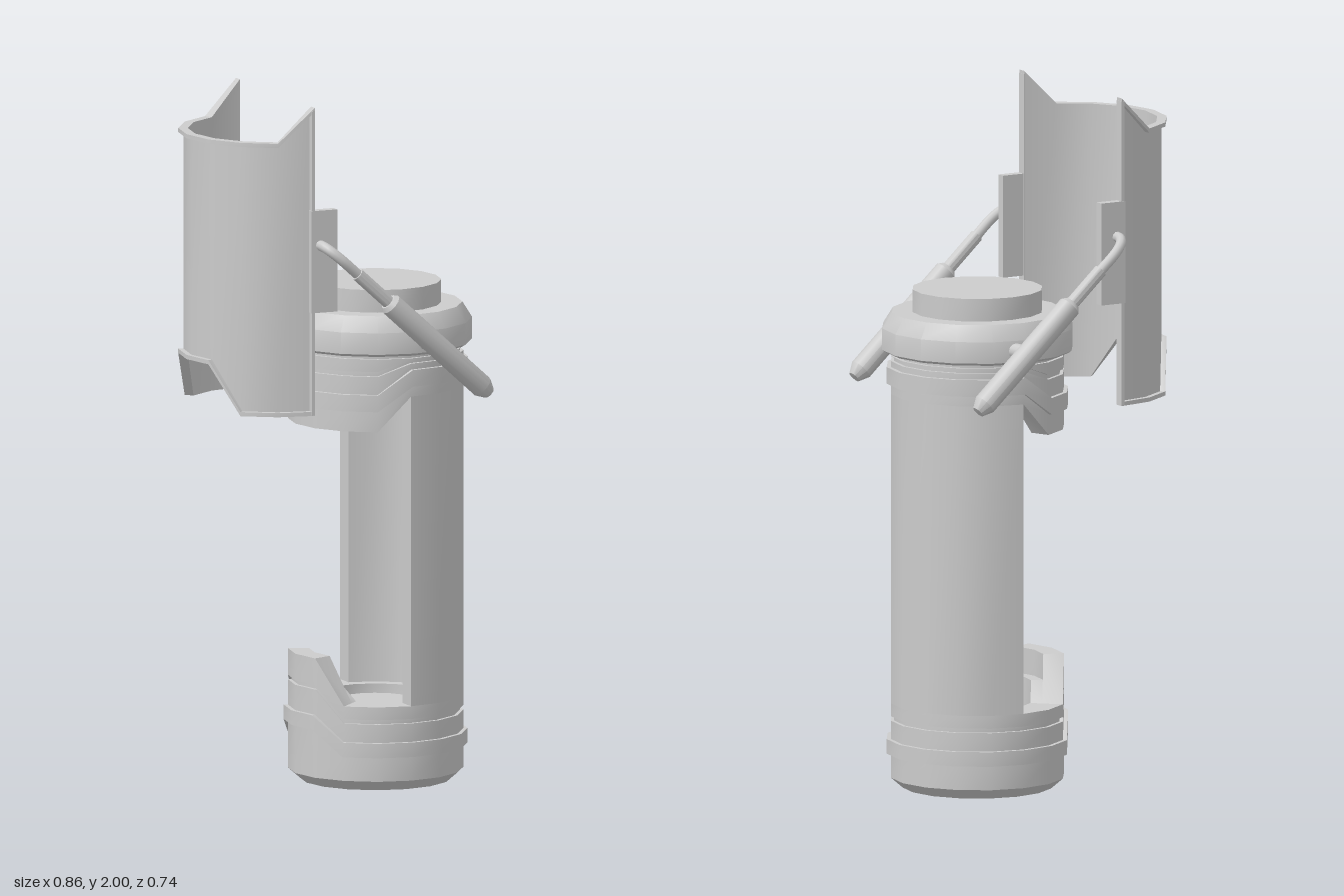
import * as THREE from 'three';
import { mergeVertices, toCreasedNormals } from 'three/addons/utils/BufferGeometryUtils.js';

const SIDES = 16;
const BODY_X = 0.155;
const DOOR_X = -0.157;
const material = new THREE.MeshStandardMaterial({ color: 0xcccccc });

function add(parent, name, geometry, x = 0, y = 0, z = 0) {
  const mesh = new THREE.Mesh(geometry, material);
  mesh.name = name;
  mesh.position.set(x, y, z);
  parent.add(mesh);
  return mesh;
}

const smooth = (geometry) => toCreasedNormals(geometry, 0.55);

// Sweeps an (r, y) profile around a vertical axis; the profile may change with
// the column a, counted from the -x side (0) to the +x side (8).
function shell(cx, first, last, profileAt, loop = false) {
  const positions = [];
  const column = (k) => {
    const step = Math.abs(k) % SIDES;
    const theta = (k * 2 * Math.PI) / SIDES;
    return profileAt(Math.min(step, SIDES - step)).map(([r, y]) =>
      new THREE.Vector3(cx - r * Math.cos(theta), y, r * Math.sin(theta)));
  };
  const tri = (a, b, c) => {
    if (a.distanceTo(b) < 1e-6 || b.distanceTo(c) < 1e-6 || a.distanceTo(c) < 1e-6) return;
    for (const p of [a, b, c]) positions.push(p.x, p.y, p.z);
  };
  for (let k = first; k < last; k++) {
    const p = column(k), q = column(k + 1), n = p.length;
    for (let i = 0; i < (loop ? n : n - 1); i++) {
      const j = (i + 1) % n;
      tri(p[i], q[i], q[j]);
      tri(p[i], q[j], p[j]);
    }
  }
  // Flat ends of an open sweep
  if (loop) {
    for (const k of [first, last]) {
      const points = column(k);
      const flat = profileAt(Math.abs(k) > 8 ? SIDES - Math.abs(k) : Math.abs(k))
        .map(([r, y]) => new THREE.Vector2(r, y));
      for (const [a, b, c] of THREE.ShapeUtils.triangulateShape(flat, [])) {
        if (k === first) tri(points[a], points[b], points[c]);
        else tri(points[a], points[c], points[b]);
      }
    }
  }
  const geometry = new THREE.BufferGeometry();
  geometry.setAttribute('position', new THREE.Float32BufferAttribute(positions, 3));
  return smooth(mergeVertices(geometry));
}

// Bottom cup: its band, groove and rim step up on the open side
function baseProfile(a) {
  const up = a <= 1 ? 1 : 0;
  const band = 0.1 + 0.07 * up, groove = 0.195 + 0.09 * up;
  const rim = up ? 0.375 : 0.245, ledge = up ? 0.3 : 0.245;
  return [
    [0, 0], [0.215, 0], [0.25, 0.03],
    [0.25, band], [0.262, band], [0.262, band + 0.042], [0.25, band + 0.042],
    [0.25, groove], [0.24, groove], [0.24, groove + 0.013], [0.25, groove + 0.013],
    [0.25, rim], [0.19, rim], [0.19, ledge], [0.155, ledge], [0.155, 0.2], [0, 0.2],
  ];
}

// Upper collar: steps down on the open side
function collarProfile(a) {
  const down = a <= 3 ? 1 : 0;
  const rim = down ? 1.04 : 1.14, ledge = down ? 1.1 : 1.14;
  const band = 1.17 - 0.07 * down, groove = 1.235 - 0.035 * down;
  return [
    [0, 1.18], [0.155, 1.18], [0.155, ledge], [0.19, ledge], [0.19, rim], [0.25, rim],
    [0.25, band], [0.262, band], [0.262, band + 0.048], [0.25, band + 0.048],
    [0.25, groove], [0.24, groove], [0.24, groove + 0.014], [0.25, groove + 0.014],
    [0.25, 1.25], [0.24, 1.25], [0.24, 1.27],
  ];
}

const capProfile = () => [
  [0.2, 1.26], [0.262, 1.26], [0.275, 1.268], [0.275, 1.33], [0.247, 1.375],
  [0.187, 1.375], [0.187, 1.44], [0, 1.44],
];

// Door skin with a thin raised lip along its top and bottom edges
function doorProfile(a) {
  const top = a === 4 ? 2 : 1.9;
  const bottom = a <= 1 ? 1.25 : 1.11;
  return [
    [0.25, bottom], [0.277, bottom], [0.277, bottom + 0.012], [0.262, bottom + 0.012],
    [0.262, top - 0.012], [0.277, top - 0.012], [0.277, top], [0.25, top],
  ];
}

// Hinge strut on one side: barrel, rod, bent arm and mounting pin
function strut(side) {
  const group = new THREE.Group();
  group.name = side > 0 ? 'frontStrut' : 'backStrut';
  const z = 0.335 * side;
  const direction = new THREE.Vector3(0.315, -0.285, 0).normalize();
  const turned = (name, profile, x, y) => {
    const points = profile.map(([r, t]) => new THREE.Vector2(r, t));
    const mesh = add(group, name, smooth(new THREE.LatheGeometry(points, 12)), x, y, z);
    mesh.quaternion.setFromUnitVectors(new THREE.Vector3(0, 1, 0), direction);
  };
  turned('strutBarrel',
    [[0, 0], [0.024, 0], [0.033, 0.012], [0.033, 0.395], [0.018, 0.425], [0, 0.428]], 0.045, 1.435);
  turned('strutRod', [[0, 0], [0.019, 0], [0.019, 0.14]], -0.05, 1.521);

  const path = new THREE.CatmullRomCurve3([
    [-0.04, 1.512, 0.335], [-0.1, 1.566, 0.335], [-0.126, 1.589, 0.322],
    [-0.138, 1.6, 0.3], [-0.14, 1.602, 0.262],
  ].map(([x, y, d]) => new THREE.Vector3(x, y, d * side)));
  add(group, 'strutArm', new THREE.TubeGeometry(path, 16, 0.015, 10));

  const pin = add(group, 'strutPin', new THREE.CylinderGeometry(0.023, 0.023, 0.1, 12), 0.19, 1.3, 0.28 * side);
  pin.rotation.x = Math.PI / 2;
  return group;
}

export function createModel() {
  const model = new THREE.Group();
  model.name = 'openCanister';

  // Canister
  add(model, 'base', shell(BODY_X, 0, SIDES, baseProfile));
  add(model, 'floorDisc', smooth(new THREE.CylinderGeometry(0.115, 0.125, 0.03, SIDES)), BODY_X, 0.21, 0);
  add(model, 'halfTube', shell(BODY_X, 4, 12,
    () => [[0.19, 0.245], [0.25, 0.245], [0.25, 1.14], [0.19, 1.14]], true));
  add(model, 'upperCollar', shell(BODY_X, 0, SIDES, collarProfile));
  add(model, 'ceilingDisc', smooth(new THREE.CylinderGeometry(0.125, 0.115, 0.03, SIDES)), BODY_X, 1.17, 0);
  add(model, 'cap', shell(BODY_X, 0, SIDES, capProfile));

  // Raised door with edge strips and hinge tabs
  const door = new THREE.Group();
  door.name = 'door';
  model.add(door);
  add(door, 'doorPanel', shell(DOOR_X, -4, 4, doorProfile, true));
  for (const side of [1, -1]) {
    add(door, 'doorEdge', new THREE.BoxGeometry(0.01, 0.88, 0.027), -0.161, 1.551, 0.2635 * side);
    add(door, 'hingeTab', new THREE.BoxGeometry(0.08, 0.295, 0.026), -0.128, 1.555, 0.266 * side);
    model.add(strut(side));
  }
  return model;
}
